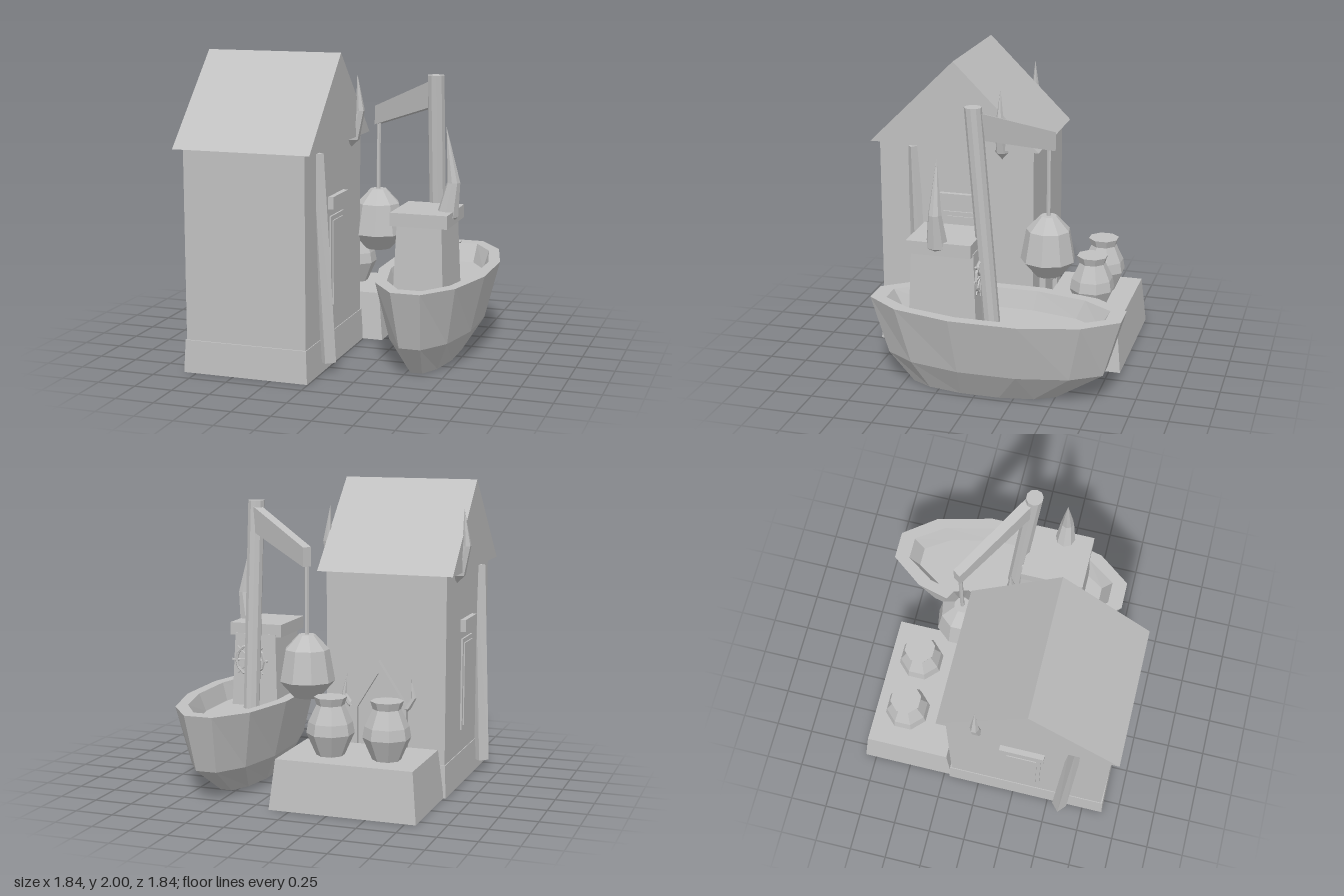
import * as THREE from 'three';

const stone = new THREE.MeshStandardMaterial({ color: 0xc0c0c0, side: THREE.DoubleSide });
stone.name = 'pale grey';

// Faceted normals
function flat(geo) {
  const g = geo.index ? geo.toNonIndexed() : geo;
  g.computeVertexNormals();
  return g;
}

// Skin a stack of horizontal rings [x, y, z, radiusX, radiusZ], capped at both ends
function loft(rings, sides, turn = 0) {
  const pos = [], idx = [];
  for (const [x, y, z, rx, rz = rx] of rings) {
    for (let i = 0; i < sides; i++) {
      const a = (i / sides) * Math.PI * 2 + turn;
      pos.push(x + rx * Math.cos(a), y, z + rz * Math.sin(a));
    }
  }
  const last = (rings.length - 1) * sides;
  for (let i = 0; i < sides; i++) {
    const n = (i + 1) % sides;
    for (let o = 0; o < last; o += sides) {
      const a = o + i, b = o + n, c = b + sides, d = a + sides;
      idx.push(a, d, c, a, c, b);
    }
    if (i > 0 && i < sides - 1) {
      idx.push(0, i, i + 1, last, last + i + 1, last + i);
    }
  }
  const g = new THREE.BufferGeometry();
  g.setAttribute('position', new THREE.Float32BufferAttribute(pos, 3));
  g.setIndex(idx);
  return flat(g);
}

// Box between two heights that narrows upward by "inset"; optionally without its underside
function taperBox(x0, x1, y0, y1, z0, z1, inset = 0, openBottom = false) {
  const g = new THREE.BoxGeometry(x1 - x0, y1 - y0, z1 - z0);
  const p = g.attributes.position;
  for (let i = 0; i < p.count; i++) {
    if (p.getY(i) > 0) {
      p.setX(i, p.getX(i) - Math.sign(p.getX(i)) * inset);
      p.setZ(i, p.getZ(i) - Math.sign(p.getZ(i)) * inset);
    }
  }
  if (openBottom) {
    const index = Array.from(g.index.array);
    index.splice(18, 6);
    g.setIndex(index);
  }
  g.translate((x0 + x1) / 2, (y0 + y1) / 2, (z0 + z1) / 2);
  return flat(g);
}

// Beam from a to b with its own height and width at each end
function beam(a, b, h0, h1, w0, w1) {
  const g = new THREE.BoxGeometry(1, 1, 1);
  const p = g.attributes.position;
  const side = new THREE.Vector3().subVectors(b, a).cross(new THREE.Vector3(0, 1, 0)).normalize();
  for (let i = 0; i < p.count; i++) {
    const t = p.getX(i) + 0.5;
    const v = a.clone().lerp(b, t);
    v.y += p.getY(i) * (h0 + (h1 - h0) * t);
    v.addScaledVector(side, p.getZ(i) * (w0 + (w1 - w0) * t));
    p.setXYZ(i, v.x, v.y, v.z);
  }
  return flat(g);
}

export function createModel() {
  const model = new THREE.Group();
  const add = (name, geo, parent = model) => {
    const m = new THREE.Mesh(geo, stone);
    m.name = name;
    parent.add(m);
    return m;
  };
  const group = (name) => {
    const g = new THREE.Group();
    g.name = name;
    model.add(g);
    return g;
  };

  // House
  const house = group('house');
  const cx = -0.42;
  add('walls', taperBox(-0.82, -0.02, 0.2, 1.44, -0.19, 0.87), house);
  add('skirting', taperBox(-0.835, -0.005, 0, 0.21, -0.21, 0.89, 0.01, true), house);
  const gable = new THREE.Shape([[-0.92, 1.43], [0.235, 1.43], [-0.34, 2]].map(([x, y]) => new THREE.Vector2(x, y)));
  const roof = new THREE.ExtrudeGeometry(gable, { depth: 0.9, bevelEnabled: false });
  roof.rotateY(Math.PI / 2).translate(-0.87, 0, 0);
  add('roof', flat(roof), house);

  // Gable sides: leaning post, horn, window and its lintel
  for (const s of [-1, 1]) {
    add('leaningPost', loft([[cx + s * 0.445, 0.065, 0.59, 0.055, 0.05], [cx + s * 0.385, 1.405, 0.64, 0.055, 0.043]], 4), house);
    add('gableHorn', loft([
      [cx + s * 0.41, 1.36, 0.02, 0], [cx + s * 0.42, 1.41, 0.02, 0.045],
      [cx + s * 0.47, 1.6, 0.02, 0.03], [cx + s * 0.45, 1.84, 0.02, 0],
    ], 6, Math.PI / 6), house);
    const plate = (name, out, y0, y1, z0, z1) => {
      const a = cx + s * 0.39, b = cx + s * (0.4 + out);
      add(name, taperBox(Math.min(a, b), Math.max(a, b), y0, y1, z0, z1), house);
    };
    plate('windowFrame', 0.012, 0.36, 0.97, 0.18, 0.43);
    plate('windowPanel', 0.02, 0.39, 0.94, 0.205, 0.405);
    plate('windowLintel', 0.035, 1.02, 1.1, 0.16, 0.45);
  }

  // Pointed back doorway with small horns
  const ax = -0.385;
  const arch = (w, y0, ys, yt) => [[-w, y0], [w, y0], [w, ys], [0, yt], [-w, ys]].map(([x, y]) => new THREE.Vector2(ax + x, y));
  const frame = new THREE.Shape(arch(0.19, 0.1, 0.58, 0.87));
  frame.holes.push(new THREE.Path(arch(0.14, 0.14, 0.56, 0.79)));
  const frameGeo = new THREE.ExtrudeGeometry(frame, { depth: 0.055, bevelEnabled: false });
  add('doorFrame', flat(frameGeo.translate(0, 0, -0.235)), house);
  const doorGeo = new THREE.ExtrudeGeometry(new THREE.Shape(arch(0.14, 0.14, 0.56, 0.79)), { depth: 0.02, bevelEnabled: false });
  add('door', flat(doorGeo.translate(0, 0, -0.205)), house);
  add('doorHandle', taperBox(-0.385, -0.36, 0.42, 0.5, -0.262, -0.2), house);
  for (const s of [-1, 1]) {
    add('doorHorn', loft([
      [ax + s * 0.18, 0.54, -0.215, 0], [ax + s * 0.19, 0.57, -0.215, 0.025],
      [ax + s * 0.235, 0.64, -0.215, 0.017], [ax + s * 0.215, 0.77, -0.215, 0],
    ], 6), house);
  }

  // Back platform with two jars
  add('platform', taperBox(-0.82, 0.135, 0, 0.32, -0.825, -0.2, 0.033, true));
  for (const x of [-0.55, -0.18]) {
    add('jar', loft([
      [x, 0.32, -0.56, 0.09], [x, 0.46, -0.56, 0.152], [x, 0.53, -0.56, 0.14],
      [x, 0.64, -0.56, 0.088], [x, 0.69, -0.56, 0.105],
    ], 8, Math.PI / 8));
  }

  // Boat: outside, rim, inside and deck
  const boat = group('boat');
  const bx = 0.565, bz = -0.105;
  add('hull', loft([
    [bx, 0, -0.03, 0.147, 0.49], [bx, 0.2, bz, 0.269, 0.73], [bx, 0.58, bz, 0.366, 0.844],
    [bx, 0.58, bz, 0.29, 0.74], [bx, 0.46, bz, 0.25, 0.67],
  ], 12, Math.PI / 12), boat);

  // Cabin and wheel
  add('cabin', taperBox(0.4, 0.73, 0.44, 0.95, -0.015, 0.43, 0.02), boat);
  add('cabinRoof', taperBox(0.38, 0.75, 0.935, 1.02, 0.01, 0.43), boat);
  add('cabinHorn', loft([
    [0.68, 0.91, 0.24, 0], [0.7, 0.98, 0.24, 0.072],
    [0.74, 1.2, 0.24, 0.043], [0.69, 1.55, 0.24, 0],
  ], 8), boat);
  const wheel = new THREE.Group();
  wheel.name = 'steeringWheel';
  wheel.position.set(0.6, 0.77, -0.005);
  boat.add(wheel);
  add('wheelRim', flat(new THREE.TorusGeometry(0.1, 0.011, 5, 12)), wheel);
  for (let i = 0; i < 4; i++) {
    add('wheelSpoke', flat(new THREE.CylinderGeometry(0.008, 0.008, 0.26, 5)), wheel).rotation.z = (i * Math.PI) / 4;
  }

  // Mast, arm, rope and hanging lantern
  const crane = group('crane');
  add('mast', loft([[bx, 0.45, -0.07, 0.055], [bx, 1.85, 0.045, 0.055]], 10), crane);
  add('mastArm', beam(new THREE.Vector3(bx, 1.735, 0.03), new THREE.Vector3(0.06, 1.53, -0.335), 0.17, 0.125, 0.065, 0.06), crane);
  add('rope', loft([[0.07, 1.0, -0.315, 0.014], [0.07, 1.52, -0.315, 0.014]], 6), crane);
  add('lantern', loft([
    [0.07, 0.62, -0.315, 0.085], [0.07, 0.73, -0.315, 0.182],
    [0.07, 0.935, -0.315, 0.145], [0.07, 1.03, -0.315, 0.055],
  ], 9), crane);

  return model;
}
